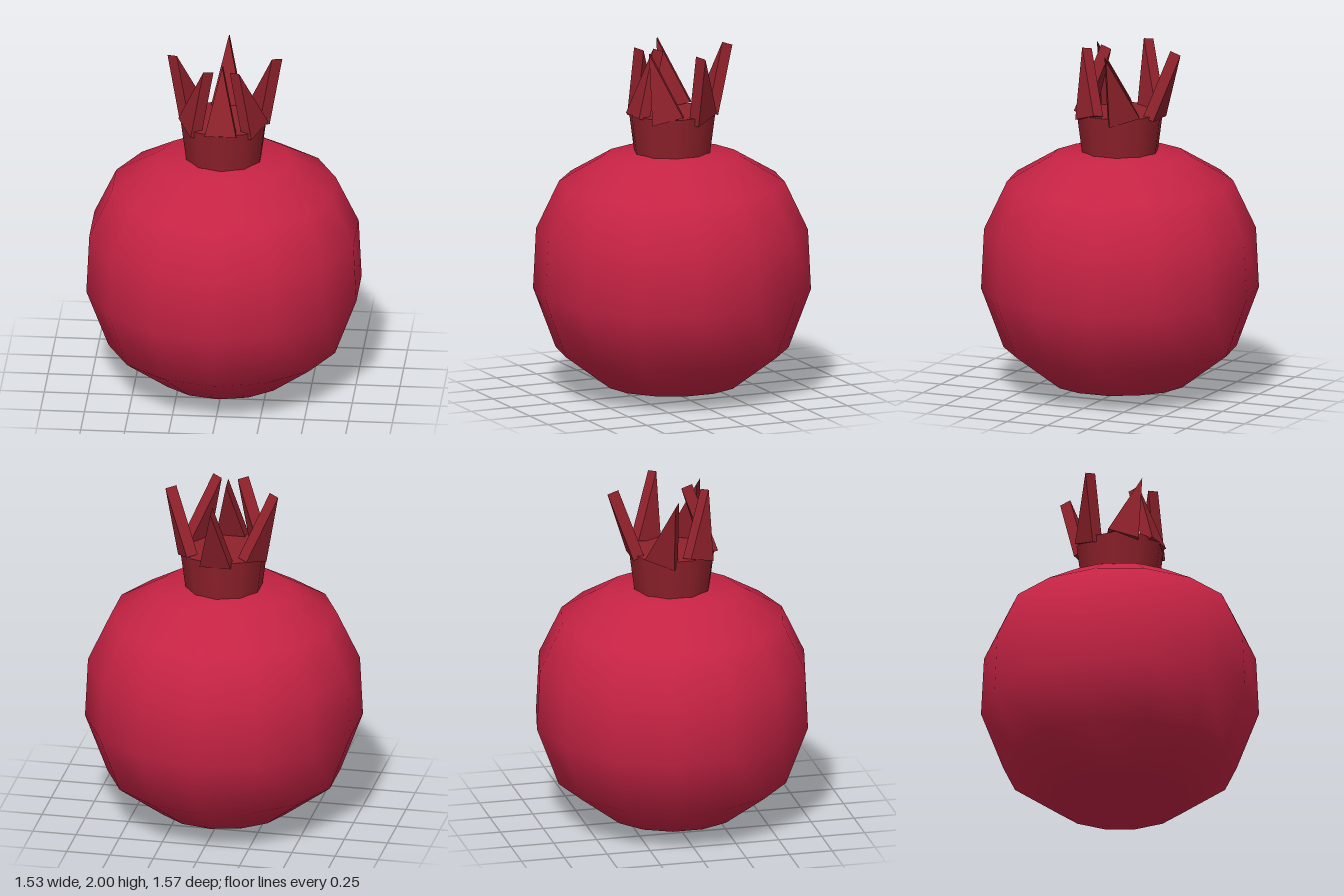
import * as THREE from 'three';

const rind = new THREE.MeshStandardMaterial({ color: 0xc62344 });
rind.name = 'crimson rind';
const calyx = new THREE.MeshStandardMaterial({ color: 0x8f212b });
calyx.name = 'dark red calyx';

function add(parent, name, geometry, material) {
  const mesh = new THREE.Mesh(geometry, material);
  mesh.name = name;
  parent.add(mesh);
  return mesh;
}

export function createModel() {
  const model = new THREE.Group();
  model.name = 'fruit';

  // Round fruit: fourteen-sided profile of revolution, smooth shaded
  const profile = [
    [0, 0], [0.385, 0.055], [0.66, 0.26], [0.787, 0.6],
    [0.77, 0.945], [0.64, 1.22], [0.385, 1.37], [0, 1.43],
  ].map(([r, y]) => new THREE.Vector2(r, y));
  add(model, 'fruitBody', new THREE.LatheGeometry(profile, 14), rind);

  // Crown: flared neck with a ring of pointed sepals
  const crown = new THREE.Group();
  crown.name = 'crown';
  model.add(crown);
  const neck = add(crown, 'crownNeck', new THREE.CylinderGeometry(0.25, 0.22, 0.23, 10), calyx);
  neck.position.y = 1.51;

  // One sepal: a thick triangle standing on its base
  const thickness = 0.066;
  const outline = new THREE.Shape([
    new THREE.Vector2(-0.09, 0), new THREE.Vector2(0.09, 0), new THREE.Vector2(0, 0.4),
  ]);
  const sepalGeometry = new THREE.ExtrudeGeometry(outline, { depth: thickness, bevelEnabled: false });
  sepalGeometry.translate(0, 0, -thickness / 2);

  // Each sepal faces outward, then leans in a direction that turns twice as fast around the ring
  const up = new THREE.Vector3(0, 1, 0);
  for (let i = 0; i < 6; i++) {
    const a = (i * Math.PI) / 3;
    const lean = 2 * a - Math.PI;
    const axis = new THREE.Vector3(Math.cos(lean), 0, -Math.sin(lean));
    const sepal = add(crown, 'sepal' + (i + 1), sepalGeometry, calyx);
    sepal.position.set(0.215 * Math.sin(a), 1.61, 0.215 * Math.cos(a));
    sepal.quaternion.setFromAxisAngle(axis, 0.33)
      .multiply(new THREE.Quaternion().setFromAxisAngle(up, a));
  }
  return model;
}
